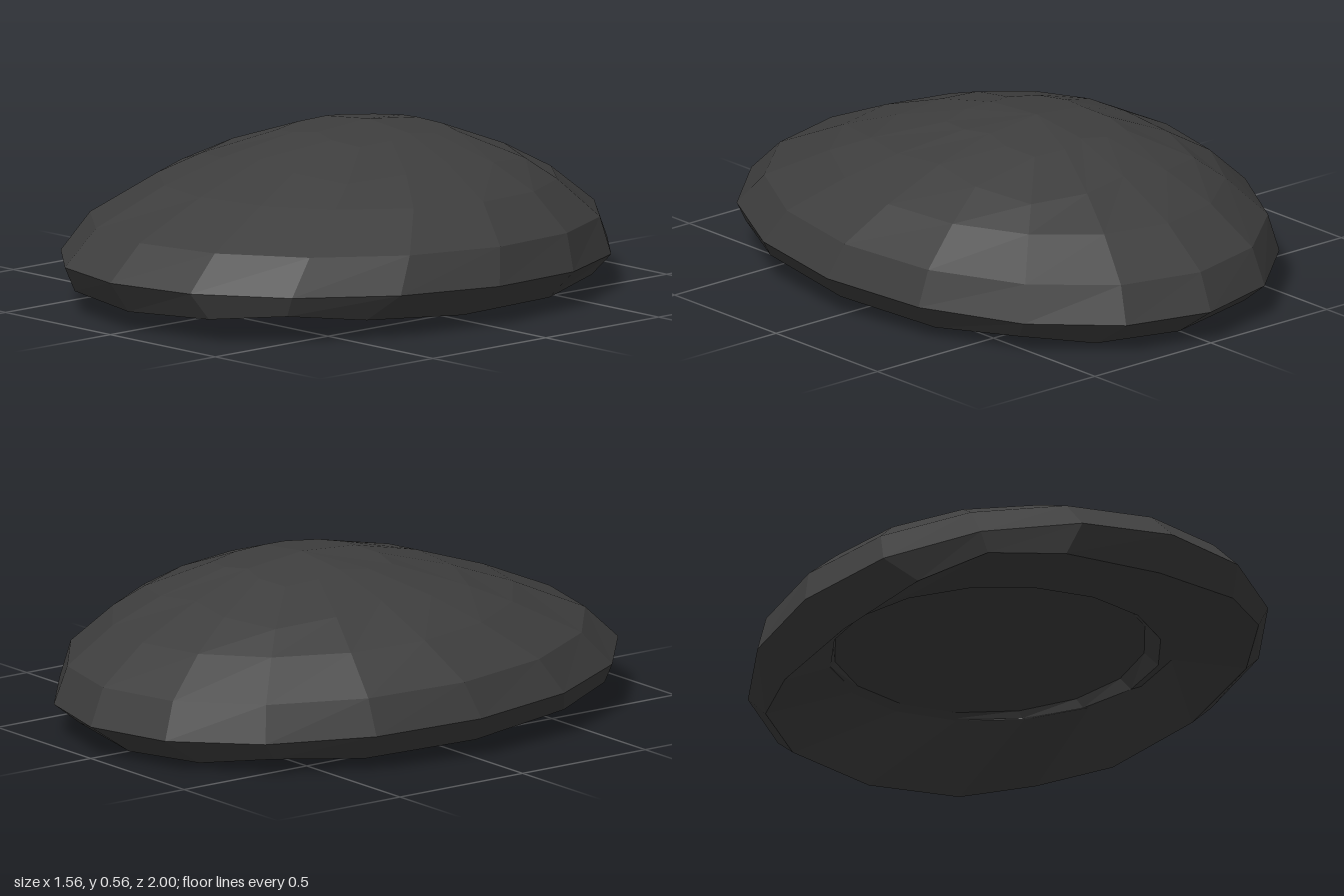
import * as THREE from 'three';

const SIDES = 16;

// Oval ring of points, tilted from its front height to its back height.
// bulge pushes the four diagonals outwards, drop lowers them.
function ring(halfWidth, zFront, zBack, yFront, yBack, bulge = 0, drop = 0) {
  const points = [];
  for (let i = 0; i < SIDES; i++) {
    const a = (i / SIDES) * Math.PI * 2;
    const diagonal = Math.sin(2 * a) ** 2;
    const k = 1 + bulge * diagonal;
    const t = (1 - Math.cos(a)) / 2;
    points.push([
      halfWidth * Math.sin(a) * k,
      THREE.MathUtils.lerp(yFront, yBack, t) - drop * diagonal,
      (zFront + zBack) / 2 + ((zFront - zBack) / 2) * Math.cos(a) * k,
    ]);
  }
  return points;
}

// Completes a ring from its left half, listed front to back.
function mirrored(half) {
  const right = half.slice(1, -1).reverse().map(([x, y, z]) => [-x, y, z]);
  return [...half, ...right];
}

// Joins rings into a faceted skin; a ring of zero width closes an end.
function skin(name, rings, material) {
  const index = [];
  for (let r = 0; r < rings.length - 1; r++) {
    for (let i = 0; i < SIDES; i++) {
      const j = (i + 1) % SIDES;
      const a = r * SIDES + i, b = r * SIDES + j;
      const c = b + SIDES, d = a + SIDES;
      index.push(a, b, c, a, c, d);
    }
  }
  const geometry = new THREE.BufferGeometry();
  geometry.setAttribute('position', new THREE.Float32BufferAttribute(rings.flat(2), 3));
  geometry.setIndex(index);
  geometry.computeVertexNormals();
  const mesh = new THREE.Mesh(geometry, material);
  mesh.name = name;
  return mesh;
}

export function createModel() {
  const group = new THREE.Group();
  group.name = 'domedShell';
  const material = new THREE.MeshStandardMaterial({ color: 0x3e3e3e, flatShading: true });

  // Scalloped lower edge
  const lowerEdge = mirrored([
    [0, 0.065, 0.92], [0.32, 0.078, 0.86], [0.52, 0.095, 0.7],
    [0.63, 0.065, 0.45], [0.67, 0.035, 0.06], [0.63, 0.03, -0.36],
    [0.52, 0.05, -0.65], [0.32, 0.02, -0.8], [0, 0, -0.845],
  ]);
  const rim = ring(0.78, 1, -1, 0.17, 0.105);
  const shoulder = ring(0.74, 0.87, -0.95, 0.285, 0.23);

  // Domed top, squarer towards the crown
  group.add(skin('dome', [
    shoulder,
    ring(0.6, 0.6, -0.79, 0.4, 0.355),
    ring(0.4, 0.33, -0.57, 0.49, 0.46, 0.24, 0.035),
    ring(0.2, 0.08, -0.36, 0.545, 0.535, 0.4, 0.02),
    ring(0, -0.14, -0.14, 0.56, 0.56),
  ], material));

  // Outer band, flaring to the rim and turning in to the lower edge
  group.add(skin('rimBand', [lowerEdge, rim, shoulder], material));

  // Hollow underside: sloping lip, step at the front and a shallow ceiling
  const lip = ring(0.53, 0.62, -0.68, 0.13, 0.2);
  const step = ring(0.52, 0.52, -0.67, 0.135, 0.205);
  const ceiling = ring(0.5, 0.43, -0.65, 0.22, 0.215);
  group.add(skin('innerLip', [lip, lowerEdge], material));
  group.add(skin('innerStep', [ceiling, step, lip], material));
  group.add(skin('innerCeiling', [ring(0, -0.1, -0.1, 0.22, 0.22), ceiling], material));

  return group;
}
